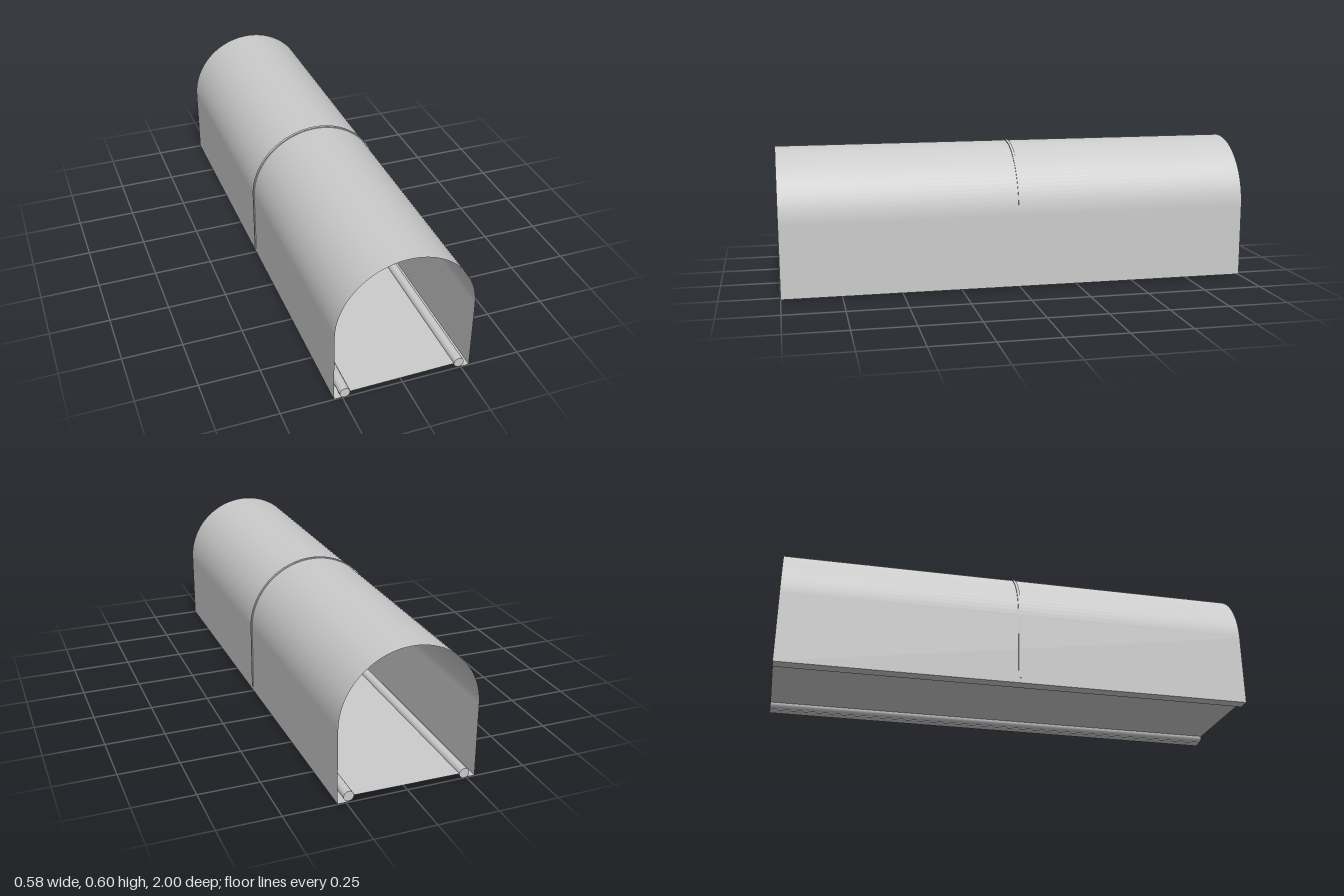
import * as THREE from 'three';

const SPRING = 0.31; // height where the arch starts to curve
const grey = new THREE.MeshStandardMaterial({ color: 0xcccccc });
const thin = new THREE.MeshStandardMaterial({ color: 0xcccccc, side: THREE.DoubleSide });

// Arch outline from the right foot, over the top, to the left foot
function archPoints(radius, foot, segments = 32) {
  const points = [new THREE.Vector2(radius, foot)];
  for (let i = 0; i <= segments; i++) {
    const a = (Math.PI * i) / segments;
    points.push(new THREE.Vector2(radius * Math.cos(a), SPRING + radius * Math.sin(a)));
  }
  points.push(new THREE.Vector2(-radius, foot));
  return points;
}

// Open sheet that follows a profile and runs the full length in z
function sheet(points) {
  const geo = new THREE.PlaneGeometry(1, 1, points.length - 1, 1);
  const pos = geo.attributes.position;
  for (let i = 0; i < pos.count; i++) {
    const p = points[i % points.length];
    pos.setXYZ(i, p.x, p.y, i < points.length ? -1 : 1);
  }
  // Front faces point away from the inside of the tunnel
  const index = geo.index.array;
  for (let i = 0; i < index.length; i += 3) [index[i], index[i + 1]] = [index[i + 1], index[i]];
  geo.computeVertexNormals();
  return geo;
}

function add(group, name, geometry, material = grey) {
  const mesh = new THREE.Mesh(geometry, material);
  mesh.name = name;
  group.add(mesh);
  return mesh;
}

export function createModel() {
  const model = new THREE.Group();
  model.name = 'archedTunnel';

  // Thin vaulted skin, open at both ends
  add(model, 'shell', sheet(archPoints(0.285, 0.003, 48)), thin);

  // Floor between the two rails
  add(model, 'floor', sheet([new THREE.Vector2(-0.24, 0.023), new THREE.Vector2(0.24, 0.028)]), thin);

  // Inward lips and round rails along the foot of each wall
  for (const side of [-1, 1]) {
    const name = side > 0 ? 'left' : 'right';
    add(model, name + 'Lip', sheet([
      new THREE.Vector2(side * 0.2625 - 0.0225, 0.003),
      new THREE.Vector2(side * 0.2625 + 0.0225, 0.003),
    ]), thin);
    const rail = add(model, name + 'Rail', new THREE.CylinderGeometry(0.021, 0.021, 2, 20));
    rail.rotation.x = Math.PI / 2;
    rail.position.set(side * 0.24, side > 0 ? 0.027 : 0.022, 0);
  }

  // Middle rib standing slightly proud of the skin, with bolt holes
  const rib = new THREE.Shape([...archPoints(0.289, 0.025), ...archPoints(0.241, 0.025).reverse()]);
  const holes = [
    [0.262, 0.315, 0.011, 0.011, 0],
    [0, 0.576, 0.011, 0.011, 0],
    [0.127, 0.548, 0.007, 0.003, 0.6],
    [0.222, 0.441, 0.009, 0.003, -0.9],
    [-0.134, 0.543, 0.011, 0.004, 1.1],
  ];
  for (const [x, y, rx, ry, turn] of holes) {
    rib.holes.push(new THREE.Path().absellipse(x, y, rx, ry, 0, Math.PI * 2, true, turn));
  }
  const ribGeo = new THREE.ExtrudeGeometry(rib, { depth: 0.012, bevelEnabled: false, curveSegments: 8 });
  ribGeo.translate(0, 0, -0.006);
  add(model, 'rib', ribGeo);

  // Raised edge of the rib on the inside of the arch
  const edge = new THREE.Shape([...archPoints(0.246, 0.025), ...archPoints(0.24, 0.025).reverse()]);
  const edgeGeo = new THREE.ExtrudeGeometry(edge, { depth: 0.018, bevelEnabled: false });
  edgeGeo.translate(0, 0, -0.009);
  add(model, 'ribInnerEdge', edgeGeo);

  // Thin web filling the shoulder on one side of the rib
  const web = new THREE.Shape();
  web.moveTo(-0.241, 0.05);
  web.lineTo(-0.155, 0.435);
  web.lineTo(-0.075, 0.539);
  web.absarc(0, SPRING, 0.241, 1.887, Math.PI, false);
  web.closePath();
  add(model, 'ribWeb', new THREE.ShapeGeometry(web), thin);

  return model;
}
